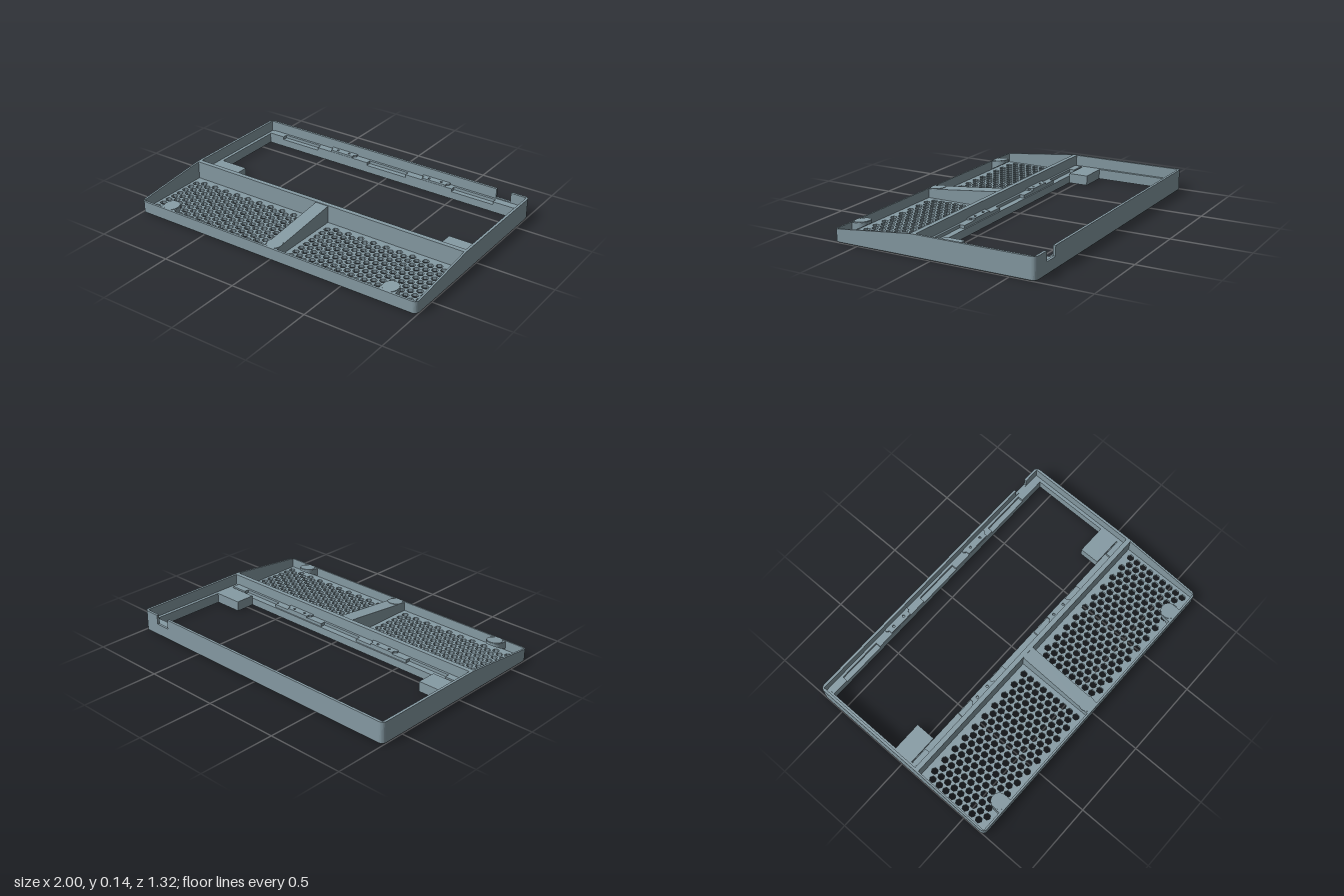
import * as THREE from 'three';

const HIGH = 0.137, LOW = 0.08, BEND = 0.13, X = 1, Z = 0.66;
// Height of the sloping top at a given depth
const topAt = z => z <= BEND ? HIGH : HIGH - (HIGH - LOW) * (z - BEND) / (Z - BEND);

export function createModel() {
  const model = new THREE.Group();
  model.name = 'caseBase';
  const grey = new THREE.MeshStandardMaterial({ color: 0x869ba4 });
  grey.name = 'blue grey plastic';

  const add = (name, geometry) => {
    const mesh = new THREE.Mesh(geometry, grey);
    mesh.name = name;
    model.add(mesh);
  };
  // Plan outline from [x, z] points
  const plan = (pts, Kind = THREE.Shape) => new Kind(pts.map(([x, z]) => new THREE.Vector2(x, -z)));
  // Upright prism on a plan outline
  const prism = (shape, y0, y1, steps = 1) =>
    new THREE.ExtrudeGeometry(shape, { depth: y1 - y0, steps, bevelEnabled: false })
      .rotateX(-Math.PI / 2).translate(0, y0, 0);
  const block = (name, x0, x1, y0, y1, z0, z1) => {
    const g = new THREE.BoxGeometry(x1 - x0, y1 - y0, z1 - z0);
    add(name, g.translate((x0 + x1) / 2, (y0 + y1) / 2, (z0 + z1) / 2));
  };
  // Move each vertex to the height given by a rule of (y, z)
  const reshape = (g, rule) => {
    const p = g.attributes.position;
    for (let i = 0; i < p.count; i++) p.setY(i, rule(p.getY(i), p.getZ(i)));
    g.computeVertexNormals();
    return g;
  };
  const slopeTop = (g, lift = 0) => reshape(g, (y, z) => y > 0.07 ? topAt(z) + lift : y);
  // Rounded corner points, from the side edge round to the front or back edge
  const corner = (sx, sz, r = 0.03, n = 6) => Array.from({ length: n + 1 }, (_, i) => {
    const a = i / n * Math.PI / 2;
    return [sx * (X - r + r * Math.cos(a)), sz * (Z - r + r * Math.sin(a))];
  });

  // Floor with display opening and honeycomb vents
  const bosses = [-0.8, 0, 0.8], bossZ = 0.605;
  const floor = plan([
    ...corner(1, -1), ...corner(-1, -1).reverse(), ...corner(-1, 1), ...corner(1, 1).reverse()
  ]);
  floor.holes.push(plan([
    [-0.963, -0.594], [0.963, -0.594], [0.963, -0.08], [0.77, -0.08],
    [0.77, 0.05], [-0.77, 0.05], [-0.77, -0.08], [-0.963, -0.08]
  ], THREE.Path));
  const pitch = 0.0525;
  for (const startX of [-0.952, 0.091]) {
    for (let c = 0; c < 20; c++) {
      const odd = c % 2, x = startX + c * 0.0453;
      for (let r = 0; r < 8 + odd; r++) {
        const z = (odd ? 0.182 : 0.208) + r * pitch;
        const hex = Array.from({ length: 6 }, (_, i) => {
          const a = (i + 0.5) * Math.PI / 3;
          return [x + 0.0215 * Math.cos(a), z + 0.0215 * Math.sin(a)];
        });
        floor.holes.push(plan(hex, THREE.Path));
      }
    }
  }
  // Small chamfer round the bottom edge
  const floorGeo = prism(floor, 0, 0.02, 4), fp = floorGeo.attributes.position;
  for (let i = 0; i < fp.count; i++) {
    const x = fp.getX(i), z = fp.getZ(i);
    if (fp.getY(i) < 0.001 && (Math.abs(x) > 0.98 || Math.abs(z) > 0.64))
      fp.setXYZ(i, x * 0.995, 0, z * 0.993);
  }
  floorGeo.computeVertexNormals();
  add('ventedFloor', floorGeo);

  // Outer walls, each an L with a rounded corner
  const wall = (sx, sz, xEnd, t) => prism(plan([
    [sx * X, BEND], ...corner(sx, sz), [xEnd, sz * Z],
    [xEnd, sz * (Z - t)], [sx * (X - t), sz * (Z - t)], [sx * (X - t), BEND]
  ]), 0.005, HIGH);
  add('backWallRight', wall(-1, -1, 0.78, 0.016));
  add('backWallLeft', wall(1, -1, 0.88, 0.016));
  block('cableNotchSill', 0.78, 0.88, 0.005, 0.075, -Z, -Z + 0.016);
  for (const s of [-1, 1])
    add(s < 0 ? 'frontWallRight' : 'frontWallLeft', slopeTop(wall(s, 1, 0, 0.012)));

  // Cross wall and sloping divider between the front bays
  block('crossWall', -0.988, 0.988, 0.02, HIGH, 0.105, 0.135);
  const divider = plan([[-0.045, BEND], [0.045, BEND], [0.045, 0.65], [-0.045, 0.65]]);
  add('bayDivider', slopeTop(prism(divider, 0.02, HIGH), -0.004));

  // Round bosses along the front edge, the outer ones on brackets from the front wall
  for (const x of bosses) {
    const disc = new THREE.Shape().absarc(x, -bossZ, 0.049, 0, Math.PI * 2);
    add('frontBoss', reshape(prism(disc, 0, 1), (y, z) => topAt(z) - (y > 0.5 ? 0 : 0.012)));
    if (x === 0) continue;
    const pts = [[x + 0.052, 0.65]];
    for (let i = 0; i <= 20; i++) {
      const a = i / 20 * Math.PI;
      pts.push([x + 0.052 * Math.cos(a), bossZ - 0.052 * Math.sin(a)]);
    }
    pts.push([x - 0.052, 0.65]);
    add('bossBracket', reshape(prism(plan(pts), 0, 1),
      (y, z) => topAt(z) - (y > 0.5 ? 0.004 : 0.02 + (z - 0.553) * 0.4)));
  }

  // Ledges round the display opening
  for (const s of [-1, 1]) {
    const a = s * 0.963, b = s * 0.985;
    block('sideLedge', Math.min(a, b), Math.max(a, b), 0.02, 0.065, -0.644, 0.105);
    const c = s * 0.77;
    block('cornerTab', Math.min(a, c), Math.max(a, c), 0.02, 0.065, -0.08, 0.05);
  }
  block('backLedge', -0.963, 0.963, 0.02, 0.05, -0.644, -0.594);
  block('middleLedge', -0.963, 0.963, 0.02, 0.05, 0.05, 0.105);

  // Upper ledge strips with shallow recesses
  const strip = (name, edge, depth, outer, recesses) => {
    const pts = [[-0.963, outer], [-0.963, edge]];
    for (const [x0, x1] of recesses) pts.push([x0, edge], [x0, depth], [x1, depth], [x1, edge]);
    pts.push([0.963, edge], [0.963, outer]);
    add(name, prism(plan(pts), 0.05, 0.07));
  };
  strip('backLedgeStrip', -0.594, -0.628, -0.644, [[-0.85, -0.555], [-0.155, 0.145], [0.49, 0.786]]);
  strip('middleLedgeStrip', 0.058, 0.09, 0.105, [[-0.85, -0.555], [-0.155, 0.145], [0.555, 0.85]]);

  // Flared mounting clips with two screw holes
  for (const x of [-0.36, 0.355]) {
    for (const [z, s] of [[-0.619, 1], [0.079, -1]]) {
      const clip = plan([
        [-0.1, -0.023], [0.1, -0.023], [0.1, -0.008], [0.085, 0.002], [0.085, 0.023],
        [-0.085, 0.023], [-0.085, 0.002], [-0.1, -0.008]
      ].map(([u, v]) => [x + u, z + s * v]));
      for (const d of [-0.045, 0.045])
        clip.holes.push(new THREE.Path().absarc(x + d, -z, 0.008, 0, Math.PI * 2));
      add('mountingClip', prism(clip, 0.07, 0.082));
    }
  }
  return model;
}
